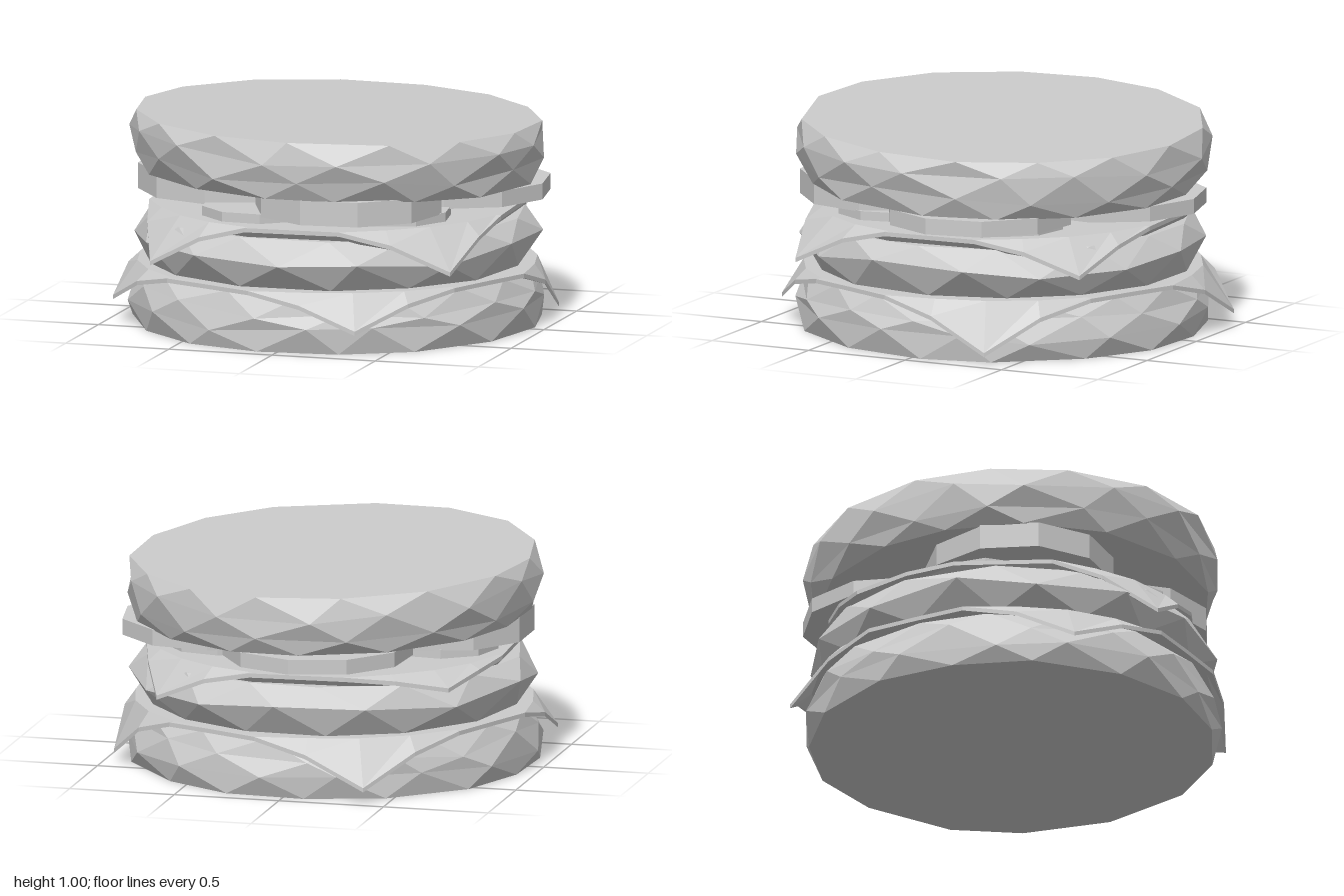
import * as THREE from 'three';

const material = new THREE.MeshStandardMaterial({ color: 0xcccccc, flatShading: true });
const TAU = Math.PI * 2;

function seeded(seed) {
  return () => {
    seed = (seed * 16807) % 2147483647;
    return seed / 2147483647 - 0.5;
  };
}

function addMesh(parent, name, geometry) {
  const mesh = new THREE.Mesh(geometry, material);
  mesh.name = name;
  parent.add(mesh);
  return mesh;
}

// Skin a stack of closed rings (bottom to top) and cap both ends.
function loft(rings) {
  const n = rings[0].length;
  const positions = [];
  const tri = (...points) => points.forEach((p) => positions.push(p.x, p.y, p.z));
  const centre = (ring) => ring.reduce((sum, p) => sum.add(p), new THREE.Vector3()).divideScalar(n);
  const first = rings[0], last = rings[rings.length - 1];
  const bottom = centre(first), top = centre(last);
  for (let j = 0; j < n; j++) {
    const k = (j + 1) % n;
    for (let i = 0; i < rings.length - 1; i++) {
      const a = rings[i], b = rings[i + 1];
      tri(a[j], b[j], a[k]);
      tri(a[k], b[j], b[k]);
    }
    tri(bottom, first[j], first[k]);
    tri(top, last[k], last[j]);
  }
  const geometry = new THREE.BufferGeometry();
  geometry.setAttribute('position', new THREE.Float32BufferAttribute(positions, 3));
  geometry.computeVertexNormals();
  return geometry;
}

// Hand-cut round slab: staggered rings of [radius, height], the inner ones uneven.
function slab(profile, sides, seed, tilt = () => 0) {
  const random = seeded(seed);
  return loft(profile.map(([radius, y], i) => {
    const inner = i > 0 && i < profile.length - 1;
    return Array.from({ length: sides }, (_, j) => {
      const a = (j + i / 2 + random() * 0.25) / sides * TAU;
      const r = radius + random() * 0.02;
      const x = r * Math.cos(a), z = r * Math.sin(a);
      return new THREE.Vector3(x, y + tilt(x, z) + (inner ? random() * 0.06 : 0), z);
    });
  }));
}

// Square slice lying flat inside radius R, its corners bending out and down beyond it.
function cheeseSlice({ y, R, half, turn, thickness, outs, drops }) {
  const perSide = 6, sides = perSide * 4;
  const ring = (edge, dy) => Array.from({ length: sides }, (_, j) => {
    const a = j / sides * TAU;
    const offset = (a % (Math.PI / 2)) - Math.PI / 4;
    const reach = half / Math.cos(offset);
    const excess = Math.max(0, reach - R);
    const corner = Math.round(j / perSide) % 4;
    const r = edge ? Math.min(reach, R) + excess * outs[corner] : Math.min(R, reach) * 0.97;
    const drop = edge ? excess * drops[corner] : 0;
    return new THREE.Vector3(r * Math.cos(a + turn), y + dy - drop, r * Math.sin(a + turn));
  });
  return loft([ring(false, -thickness), ring(true, -0.02), ring(true, 0), ring(false, 0)]);
}

export function createModel() {
  const burger = new THREE.Group();
  burger.name = 'burger';
  const degrees = THREE.MathUtils.degToRad;

  // Bottom bun, first cheese slice, patty, second cheese slice
  addMesh(burger, 'bottomBun', slab([[0.945, 0], [0.965, 0.1], [0.945, 0.18], [0.9, 0.265]], 15, 11));
  addMesh(burger, 'lowerCheese', cheeseSlice({
    y: 0.285, R: 0.955, half: 0.925, turn: degrees(68), thickness: 0.02,
    outs: [0.2, 0.24, 0.32, 0.2], drops: [0.46, 0.46, 0.58, 0.64],
  }));
  addMesh(burger, 'patty', slab([[0.87, 0.285], [0.945, 0.41], [0.875, 0.515]], 14, 23));
  addMesh(burger, 'upperCheese', cheeseSlice({
    y: 0.56, R: 0.87, half: 0.84, turn: degrees(42), thickness: 0.045,
    outs: [0.5, 0.42, 0.3, 0.35], drops: [0.58, 0.63, 0.2, 0.5],
  }));

  // Small pickle slices
  const pickles = new THREE.Group();
  pickles.name = 'pickles';
  burger.add(pickles);
  for (let i = 0; i < 5; i++) {
    const a = i / 5 * TAU + 0.75;
    const pickle = addMesh(pickles, 'pickle', new THREE.CylinderGeometry(0.27, 0.27, 0.045, 9));
    pickle.position.set(0.53 * Math.cos(a), 0.58 + (i % 2) * 0.004, 0.53 * Math.sin(a));
    pickle.rotation.y = i;
  }

  // Tomato slices: x, z, thickness
  const tomatoes = new THREE.Group();
  tomatoes.name = 'tomatoes';
  burger.add(tomatoes);
  [[-0.48, 0.08, 0.12], [0.2, 0.46, 0.115], [0.53, -0.15, 0.075], [-0.06, -0.53, 0.07]].forEach(([x, z, h], i) => {
    const slice = addMesh(tomatoes, 'tomatoSlice', new THREE.CylinderGeometry(0.44, 0.44, h, 10));
    slice.position.set(x, 0.598 + h / 2 - i * 0.002, z);
    slice.rotation.y = i * 0.4;
  });

  // Top bun, sitting slightly askew
  addMesh(burger, 'topBun', slab(
    [[0.915, 0.692], [0.95, 0.785], [0.965, 0.87], [0.94, 0.965]], 15, 37,
    (x, z) => -0.022 * x + 0.025 * z,
  ));
  return burger;
}
